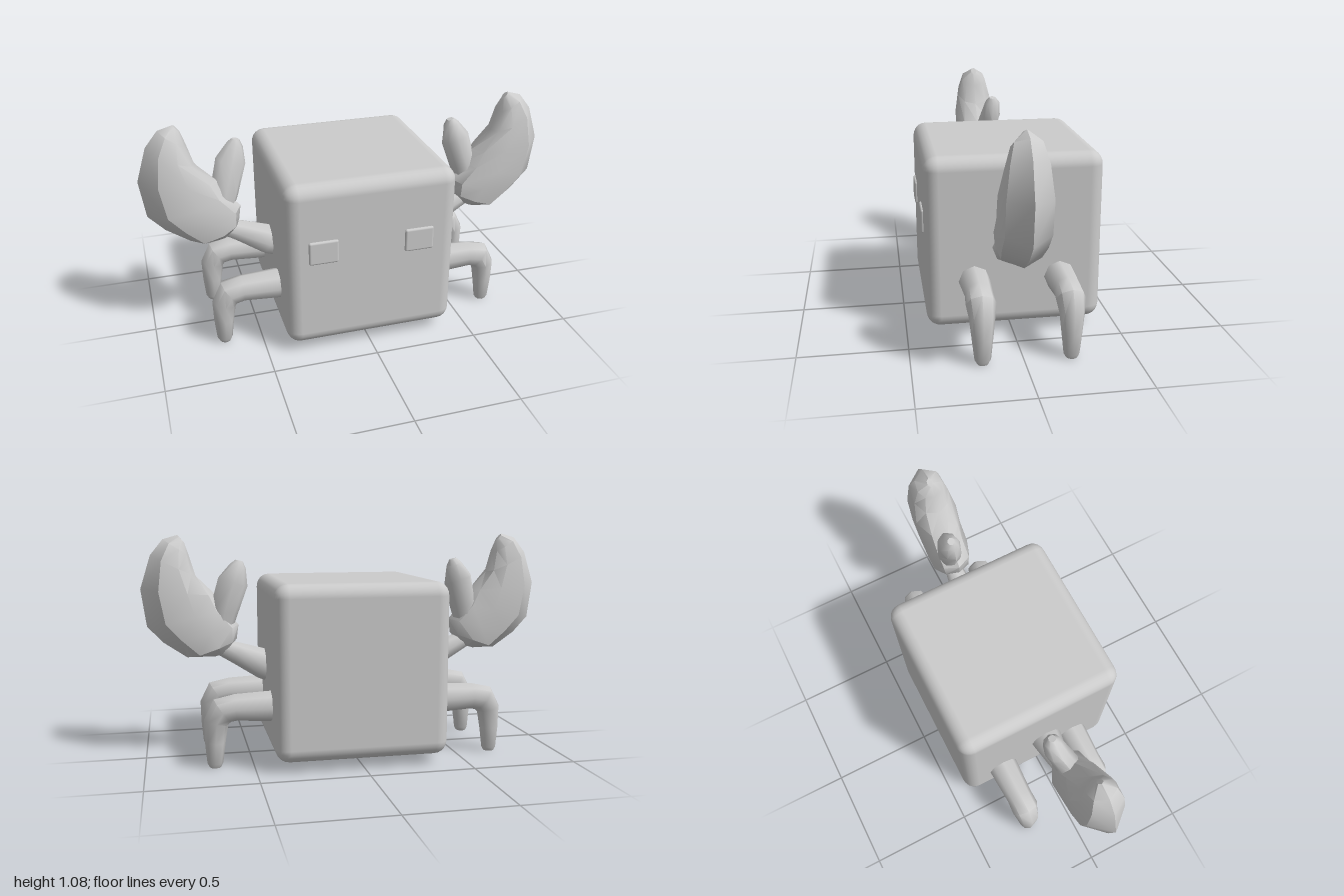
import * as THREE from 'three';
import { RoundedBoxGeometry } from 'three/addons/geometries/RoundedBoxGeometry.js';
import { toCreasedNormals } from 'three/addons/utils/BufferGeometryUtils.js';

const material = new THREE.MeshStandardMaterial({ color: 0xcccccc });

// Skin a list of equal-sized point rings and close both ends; side = -1 mirrors in x
function loft(rings, side, crease) {
  const n = rings[0].length;
  const positions = [];
  const index = [];
  const tri = (a, b, c) => (side > 0 ? index.push(a, b, c) : index.push(a, c, b));
  rings.flat().forEach(([x, y, z]) => positions.push(x * side, y, z));
  for (let i = 0; i < rings.length - 1; i++) {
    for (let j = 0; j < n; j++) {
      const a = i * n + j, b = i * n + ((j + 1) % n);
      tri(a, b, b + n);
      tri(a, b + n, a + n);
    }
  }
  const last = (rings.length - 1) * n;
  for (let j = 1; j < n - 1; j++) {
    tri(0, j + 1, j);
    tri(last, last + j, last + j + 1);
  }
  const geometry = new THREE.BufferGeometry();
  geometry.setAttribute('position', new THREE.Float32BufferAttribute(positions, 3));
  geometry.setIndex(index);
  return toCreasedNormals(geometry, crease);
}

// Eight-sided limb along stations [x, y, z, radius, depth radius]
function limb(stations, side) {
  const rings = stations.map(([x, y, z, r, rz = r], i) => {
    const p = stations[Math.max(i - 1, 0)];
    const q = stations[Math.min(i + 1, stations.length - 1)];
    const length = Math.hypot(q[0] - p[0], q[1] - p[1]);
    const nx = -(q[1] - p[1]) / length, ny = (q[0] - p[0]) / length;
    return Array.from({ length: 8 }, (_, j) => {
      const a = (j / 8) * Math.PI * 2;
      return [x + nx * r * Math.cos(a), y + ny * r * Math.cos(a), z + rz * Math.sin(a)];
    });
  });
  return loft(rings, side, 0.9);
}

// Claw sections: inner edge x, y, outer edge x, y, half thickness
const clawSections = [
  [0.60, 0.51, 0.68, 0.485, 0.05],
  [0.55, 0.57, 0.79, 0.485, 0.10],
  [0.54, 0.64, 0.90, 0.56, 0.11],
  [0.61, 0.72, 0.975, 0.64, 0.11],
  [0.65, 0.79, 1.00, 0.82, 0.11],
  [0.74, 0.88, 0.95, 0.98, 0.09],
  [0.77, 0.98, 0.89, 1.055, 0.065],
  [0.79, 1.04, 0.82, 1.075, 0.015],
];
// Section outline: fraction from inner to outer edge, fraction of thickness
const clawOutline = [[0, 0], [0.1, 0.65], [0.38, 1], [0.76, 0.88], [1, 0], [0.76, -0.88], [0.38, -1], [0.1, -0.65]];

function claw(side) {
  const rings = clawSections.map(([ix, iy, ox, oy, t]) =>
    clawOutline.map(([u, v]) => [ix + (ox - ix) * u, iy + (oy - iy) * u, 0.025 + v * t]));
  return loft(rings, side, 0.7);
}

export function createModel() {
  const model = new THREE.Group();
  model.name = 'blockCrab';
  const add = (name, geometry, x = 0, y = 0, z = 0) => {
    const mesh = new THREE.Mesh(geometry, material);
    mesh.name = name;
    mesh.position.set(x, y, z);
    model.add(mesh);
  };

  add('body', new RoundedBoxGeometry(0.82, 0.82, 0.825, 3, 0.065), 0.005, 0.455, -0.0075);

  for (const side of [1, -1]) {
    const label = side > 0 ? 'left' : 'right';
    add(label + 'Eye', new RoundedBoxGeometry(0.14, 0.115, 0.05, 2, 0.01), side * 0.23 - 0.003, 0.538, 0.391);

    // Bent, tapering legs
    for (const [place, z] of [['Front', 0.185], ['Back', -0.215]]) {
      add(label + place + 'Leg', limb([
        [0.34, 0.28, z, 0.073],
        [0.42, 0.28, z, 0.073],
        [0.58, 0.281, z, 0.064],
        [0.642, 0.268, z, 0.068],
        [0.672, 0.215, z, 0.058],
        [0.678, 0.12, z, 0.048],
        [0.68, 0.02, z, 0.037],
        [0.68, 0.0, z, 0.026],
      ], side));
    }

    // Arm, claw and movable finger
    add(label + 'Arm', limb([
      [0.34, 0.415, 0.025, 0.08],
      [0.42, 0.44, 0.025, 0.076],
      [0.55, 0.5, 0.015, 0.054],
      [0.66, 0.545, 0.015, 0.035],
    ], side));
    add(label + 'Claw', claw(side));
    const tipZ = side > 0 ? -0.005 : -0.043;
    add(label + 'Finger', limb([
      [0.63, 0.6, 0.01, 0.05],
      [0.61, 0.71, 0.005, 0.068, 0.06],
      [0.565, 0.85, tipZ * 0.8, 0.073, 0.055],
      [0.54, 0.925, tipZ, 0.04],
      [0.533, 0.952, tipZ, 0.018],
    ], side));
  }
  return model;
}
